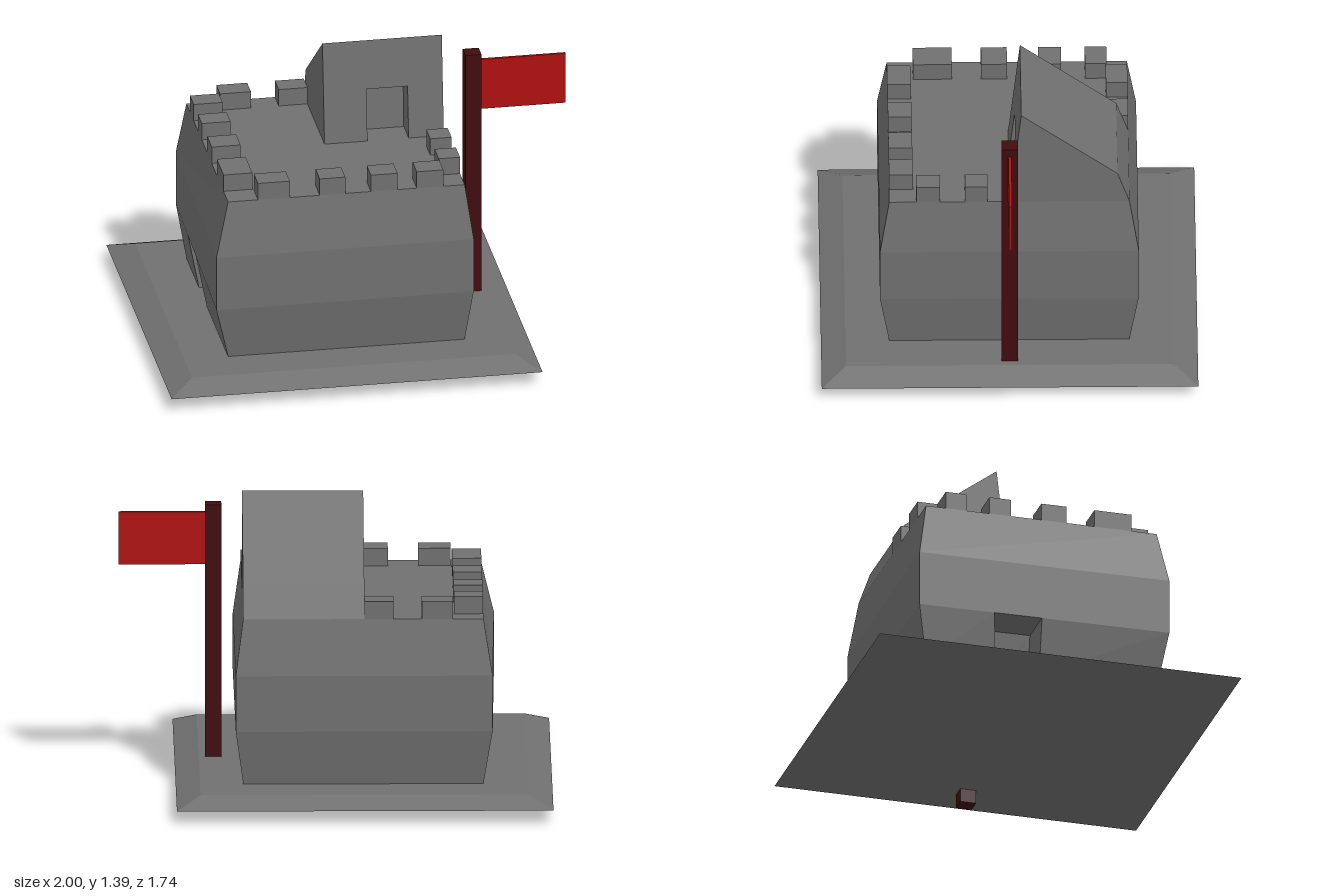
import * as THREE from 'three';

const V = (x, y, z) => new THREE.Vector3(x, y, z);

// Flat-faced geometry from counter-clockwise quads
function quadGeometry(quads) {
  const pos = [];
  for (const [a, b, c, d] of quads) for (const p of [a, b, c, a, c, d]) pos.push(p.x, p.y, p.z);
  const g = new THREE.BufferGeometry();
  g.setAttribute('position', new THREE.Float32BufferAttribute(pos, 3));
  g.computeVertexNormals();
  return g;
}

// Four-cornered ring: front left, front right, back right, back left as seen from the front
const ring = (y, x0, x1, z, backX0 = x0) => [V(x0, y, z), V(x1, y, z), V(x1, y, -z), V(backX0, y, -z)];

function sides(lo, hi, skip = -1) {
  const quads = [];
  for (let i = 0; i < 4; i++) {
    const j = (i + 1) % 4;
    if (i !== skip) quads.push([lo[i], lo[j], hi[j], hi[i]]);
  }
  return quads;
}

// Wall with a recessed doorway; t0..t1 along its width and h of its height
function doorWall(bl, br, tr, tl, t0, t1, h, inLow, inHigh) {
  const at = (t, s) => bl.clone().lerp(br, t).lerp(tl.clone().lerp(tr, t), s);
  const p0 = at(t0, 0), p1 = at(t1, 0), q0 = at(t0, h), q1 = at(t1, h);
  const P0 = p0.clone().add(inLow), P1 = p1.clone().add(inLow);
  const Q0 = q0.clone().add(inHigh), Q1 = q1.clone().add(inHigh);
  const quads = [
    [bl, p0, at(t0, 1), tl], [p1, br, tr, at(t1, 1)], // wall beside the door
    [P0, P1, Q1, Q0], [p0, P0, Q0, q0], [P1, p1, q1, Q1], [Q0, Q1, q1, q0], // recess
  ];
  if (h < 1) quads.push([q0, q1, at(t1, 1), at(t0, 1)]);
  return quads;
}

export function createModel() {
  const model = new THREE.Group();
  const mat = (name, color) => {
    const m = new THREE.MeshStandardMaterial({ color });
    m.name = name;
    return m;
  };
  const stone = mat('stone grey', 0x707070);
  const wood = mat('dark red wood', 0x400c0e);
  const cloth = mat('red cloth', 0xb01010);

  const add = (name, geometry, material, parent = model) => {
    const m = new THREE.Mesh(geometry, material);
    m.name = name;
    parent.add(m);
    return m;
  };
  const block = (name, x0, x1, y0, y1, z0, z1, material, parent) =>
    add(name, new THREE.BoxGeometry(x1 - x0, y1 - y0, z1 - z0), material, parent)
      .position.set((x0 + x1) / 2, (y0 + y1) / 2, (z0 + z1) / 2);

  // Sloping ground slab
  const g0 = ring(0.065, -1, 0.74, 0.87), g1 = ring(0.115, -0.885, 0.63, 0.757);
  add('groundSlab', quadGeometry([...sides(g0, g1), g1, [...g0].reverse()]), stone);

  // Bulging keep with a doorway in its right wall
  const k = [
    ring(0.115, -0.68, 0.43, 0.555),
    ring(0.375, -0.742, 0.465, 0.598, -0.722),
    ring(0.64, -0.742, 0.465, 0.598, -0.722),
    ring(0.9, -0.68, 0.43, 0.555),
  ];
  const inward = V(0.2, 0, 0);
  add('keep', quadGeometry([
    ...sides(k[0], k[1], 3),
    ...doorWall(k[0][3], k[0][0], k[1][0], k[1][3], 0.3, 0.49, 1, inward, inward),
    ...sides(k[1], k[2]),
    ...sides(k[2], k[3]),
    k[3],
  ]), stone);

  // Battlements along the four edges
  const battlements = new THREE.Group();
  battlements.name = 'battlements';
  model.add(battlements);
  const merlon = (x0, x1, z0, z1) => block('merlon', x0, x1, 0.9, 0.983, z0, z1, stone, battlements);
  for (const [a, b] of [[-0.54, -0.39], [-0.25, -0.13], [-0.01, 0.115], [0.205, 0.33]]) merlon(a, b, 0.445, 0.555);
  for (const [a, b] of [[-0.54, -0.395], [-0.265, -0.13]]) merlon(a, b, -0.555, -0.455);
  for (const [a, b] of [[-0.46, -0.36], [-0.25, -0.145], [0, 0.12], [0.255, 0.435]]) merlon(-0.68, -0.545, a, b);
  for (const [a, b] of [[0.1, 0.205], [0.32, 0.43]]) merlon(0.33, 0.43, a, b);

  // Stair tower with sloping roof and a front doorway
  const profile = [[0, 0.9], [-0.555, 0.9], [-0.5, 1.055], [-0.055, 1.387]];
  const L = profile.map(([z, y]) => V(-0.13, y, z));
  const R = profile.map(([z, y]) => V(0.43, y, z));
  add('stairTower', quadGeometry([
    R, [...L].reverse(),
    [R[1], L[1], L[2], R[2]],
    [L[3], R[3], R[2], L[2]],
    ...doorWall(L[0], R[0], R[3], L[3], 0.36, 0.705, 0.515, V(0, 0, -0.13), V(0, -0.02, -0.12)),
  ]), stone);

  // Flag on its pole
  block('flagPole', 0.525, 0.6, 0, 1.315, -0.038, 0.038, wood);
  block('flag', 0.6, 1, 1.025, 1.275, -0.007, 0.007, cloth);

  return model;
}
